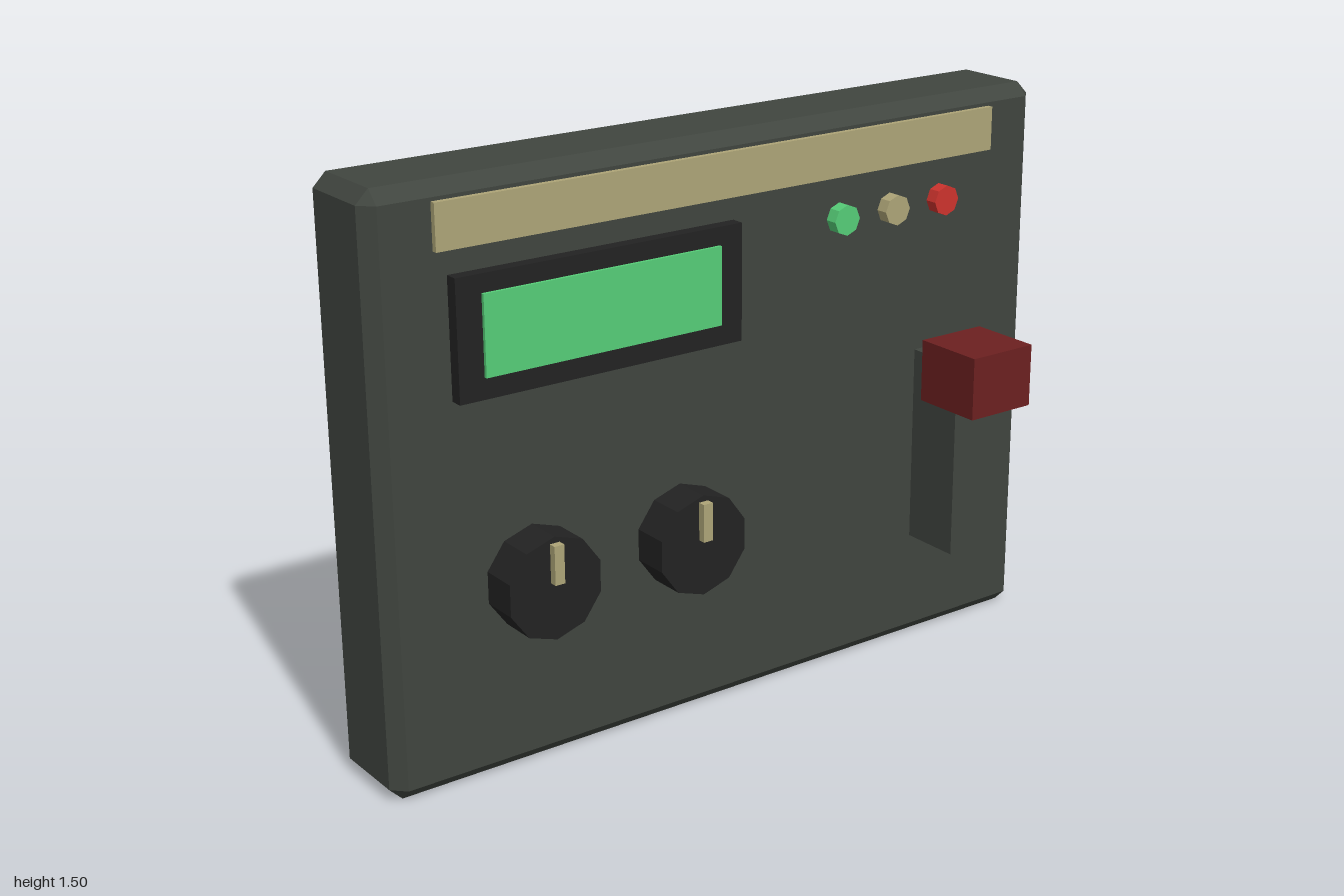
import * as THREE from 'three';
import { ConvexGeometry } from 'three/addons/geometries/ConvexGeometry.js';

const mat = (name, color) => {
  const m = new THREE.MeshStandardMaterial({ color, flatShading: true });
  m.name = name;
  return m;
};

// Box with every edge cut by a flat chamfer
function chamferBox(w, h, d, c) {
  const pts = [];
  for (const x of [-1, 1]) for (const y of [-1, 1]) for (const z of [-1, 1]) {
    for (let axis = 0; axis < 3; axis++) {
      const p = [w / 2, h / 2, d / 2].map((v, i) => (i === axis ? v : v - c));
      pts.push(new THREE.Vector3(x * p[0], y * p[1], z * p[2]));
    }
  }
  return new ConvexGeometry(pts);
}

export function createModel() {
  const group = new THREE.Group();
  group.name = 'controlPanel';

  const casing = mat('casingGrey', 0x40453f);
  const black = mat('black', 0x222222);
  const green = mat('green', 0x55cc77);
  const beige = mat('beige', 0xada477);
  const red = mat('red', 0xcc332d);
  const darkRed = mat('darkRed', 0x6c2020);

  const add = (name, geometry, material, x, y, z) => {
    const mesh = new THREE.Mesh(geometry, material);
    mesh.name = name;
    mesh.position.set(x, y, z);
    group.add(mesh);
    return mesh;
  };
  // Box given by its limits on each axis
  const box = (name, material, x0, x1, y0, y1, z0, z1) =>
    add(name, new THREE.BoxGeometry(x1 - x0, y1 - y0, z1 - z0), material,
      (x0 + x1) / 2, (y0 + y1) / 2, (z0 + z1) / 2);
  // Faceted disc standing on the front face
  const disc = (name, material, x, y, r, depth, sides) =>
    add(name, new THREE.CylinderGeometry(r, r, depth, sides).rotateX(Math.PI / 2),
      material, x, y, depth / 2);

  // Casing
  add('casing', chamferBox(2, 1.5, 0.267, 0.034), casing, 0, 0.75, -0.1335);

  // Label strip and display
  box('labelStrip', beige, -0.833, 0.833, 1.343, 1.457, -0.01, 0.015);
  box('displayBezel', black, -0.8, 0, 0.983, 1.283, -0.01, 0.034);
  box('displayScreen', green, -0.733, -0.067, 1.037, 1.237, 0.03, 0.043);

  // Indicator lights
  [green, beige, red].forEach((m, i) =>
    disc('indicatorLight', m, 0.333 + i / 6, 1.235, 0.04, 0.034, 8));

  // Knobs with pointers
  for (const x of [-0.6, -0.167]) {
    disc('knob', black, x, 0.5, 0.133, 0.1, 10);
    box('knobPointer', beige, x - 0.0135, x + 0.0135, 0.517, 0.617, 0.09, 0.12);
  }

  // Lever
  box('leverArm', casing, 0.6, 0.733, 0.3, 0.833, 0, 0.167);
  box('leverHandle', darkRed, 0.567, 0.767, 0.717, 0.883, 0.068, 0.267);

  return group;
}
